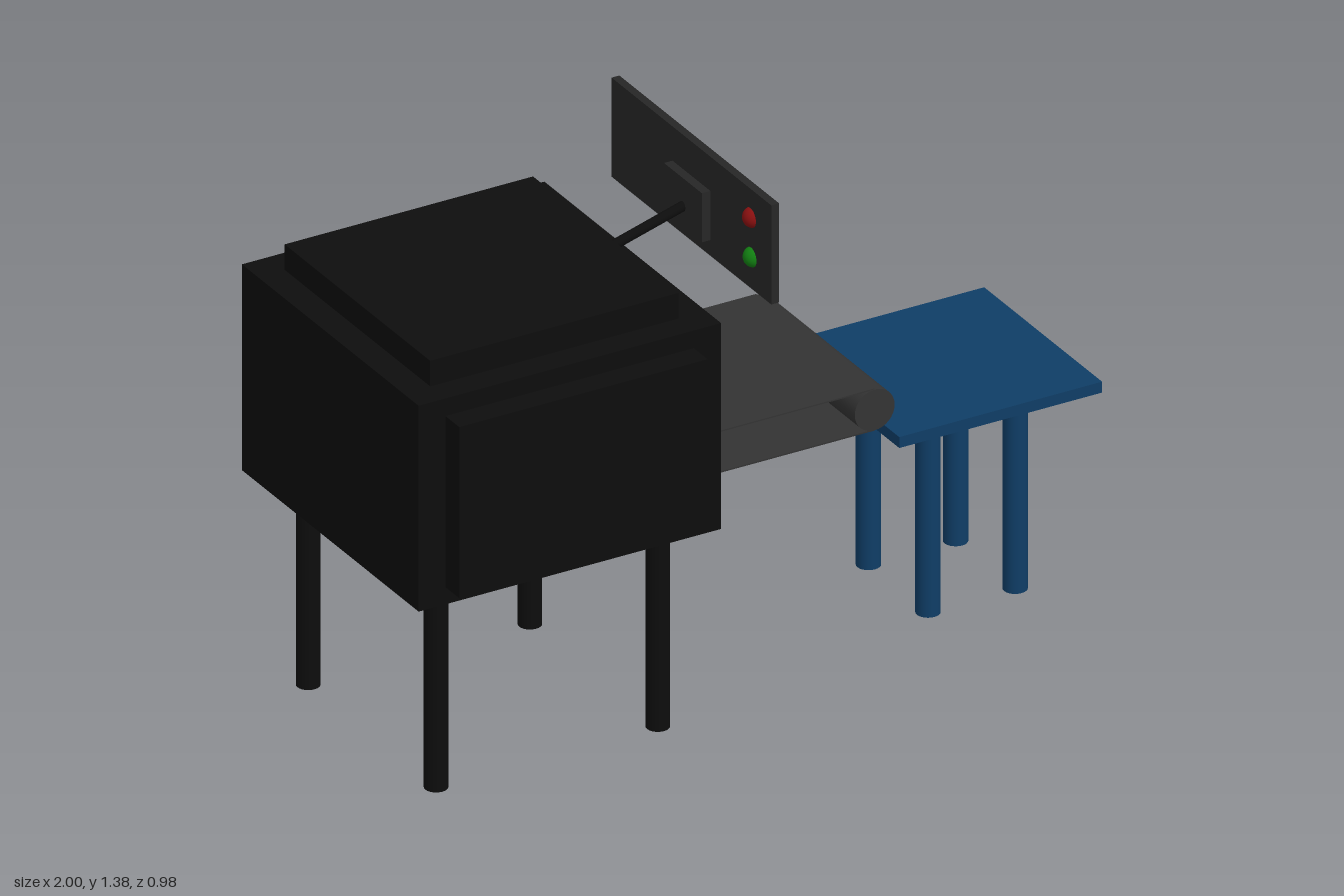
import * as THREE from 'three';

const mat = (color, side = THREE.FrontSide) => new THREE.MeshStandardMaterial({ color, side });
const BLACK = mat(0x0d0d0d);
const BELT = mat(0x333333);
const BLUE = mat(0x0f3d66);
const PANEL = mat(0x262626);
const PALE = mat(0xcccccc);
const RED = mat(0x8a1010);
const GREEN = mat(0x128012);

function add(parent, name, geometry, material, x = 0, y = 0, z = 0) {
  const mesh = new THREE.Mesh(geometry, material);
  mesh.name = name;
  mesh.position.set(x, y, z);
  parent.add(mesh);
  return mesh;
}

// Box given by its limits on each axis
function block(parent, name, material, [x0, x1], [y0, y1], [z0, z1]) {
  return add(parent, name, new THREE.BoxGeometry(x1 - x0, y1 - y0, z1 - z0), material,
    (x0 + x1) / 2, (y0 + y1) / 2, (z0 + z1) / 2);
}

// Rectangular hollow frame lying flat
function frame(parent, name, material, [x0, x1], [y0, y1], [z0, z1], t) {
  for (const x of [x0, x1 - t]) block(parent, name, material, [x, x + t], [y0, y1], [z0, z1]);
  for (const z of [z0, z1 - t]) block(parent, name, material, [x0 + t, x1 - t], [y0, y1], [z, z + t]);
}

function legs(parent, name, material, xs, zs, height, r) {
  for (const x of xs) for (const z of zs) {
    add(parent, name, new THREE.CylinderGeometry(r, r, height, 24), material, x, height / 2, z);
  }
}

function group(parent, name) {
  const g = new THREE.Group();
  g.name = name;
  parent.add(g);
  return g;
}

export function createModel() {
  const model = new THREE.Group();
  model.name = 'scannerStation';

  // Housing: stepped box, open at the conveyor end
  const housing = group(model, 'housing');
  const X = [-1, -0.15], Y = [0.56, 1.125], Z = [-0.427, 0.423], t = 0.07;
  block(housing, 'roof', BLACK, X, [Y[1] - 0.045, Y[1]], Z);
  block(housing, 'floor', BLACK, X, [Y[0], Y[0] + 0.045], Z);
  block(housing, 'backWall', BLACK, [X[0], X[0] + t], [0.605, 1.08], Z);
  block(housing, 'leftWall', BLACK, [X[0] + t, X[1]], [0.605, 1.08], [Z[1] - t, Z[1]]);
  block(housing, 'rightWall', BLACK, [X[0] + t, X[1]], [0.605, 1.08], [Z[0], Z[0] + t]);
  block(housing, 'topPlate', BLACK, [-0.925, -0.227], [Y[1], 1.195], [-0.35, 0.35]);
  block(housing, 'leftPlate', BLACK, [-0.925, -0.227], [0.607, 1.077], [Z[1], 0.49]);
  block(housing, 'rightPlate', BLACK, [-0.925, -0.227], [0.607, 1.077], [-0.49, Z[0]]);
  frame(housing, 'baseFrame', BLACK, [-0.89, -0.265], [0.525, Y[0]], [-0.3, 0.3], 0.03);
  legs(housing, 'housingLeg', BLACK, [-0.888, -0.265], [-0.3, 0.315], 0.565, 0.03);

  // Concentric rings on the inside of the back wall
  const rings = group(housing, 'sensorRings');
  rings.position.set(-0.93, 0.865, 0);
  rings.rotation.y = Math.PI / 2;
  for (const [R, r] of [[0.112, 0.027], [0.056, 0.012], [0.02, 0.005]]) {
    add(rings, 'ring', new THREE.TorusGeometry(R, r, 16, 48), PALE);
  }
  add(rings, 'ringCentre', new THREE.SphereGeometry(0.009, 16, 10), PALE);

  // Conveyor: rollers between an upper and a lower belt
  const conveyor = group(model, 'conveyor');
  const rollerY = 0.685, rollerR = 0.056;
  for (const x of [-0.7, -0.168, 0.364]) {
    const roller = add(conveyor, 'roller', new THREE.CylinderGeometry(rollerR, rollerR, 0.57, 32), BELT, x, rollerY, -0.003);
    roller.rotation.x = Math.PI / 2;
  }
  for (const y of [rollerY - rollerR, rollerY + rollerR]) {
    block(conveyor, 'belt', BELT, [-0.7, 0.364], [y - 0.002, y + 0.002], [-0.288, 0.28]);
  }

  // Control panel on a slanted arm
  const control = group(model, 'controlPanel');
  const a = new THREE.Vector3(-0.3, 1.13, -0.005), b = new THREE.Vector3(0, 1.215, -0.005);
  add(control, 'arm', new THREE.TubeGeometry(new THREE.LineCurve3(a, b), 1, 0.013, 16), BLACK);
  block(control, 'mount', PANEL, [-0.008, 0.017], [1.155, 1.29], [-0.095, 0.087]);
  block(control, 'panelBoard', PANEL, [0.016, 0.038], [1.112, 1.384], [-0.388, 0.38]);
  block(control, 'screen', PANEL, [0.03, 0.041], [1.124, 1.372], [-0.378, 0.162]);
  add(control, 'redButton', new THREE.SphereGeometry(0.027, 24, 16), RED, 0.023, 1.305, 0.28);
  add(control, 'greenButton', new THREE.SphereGeometry(0.027, 24, 16), GREEN, 0.023, 1.198, 0.283);

  // Receiving table
  const table = group(model, 'table');
  block(table, 'tableTop', BLUE, [0.43, 1], [0.565, 0.595], [-0.28, 0.287]);
  frame(table, 'tableApron', BLUE, [0.495, 0.937], [0.53, 0.566], [-0.216, 0.228], 0.025);
  legs(table, 'tableLeg', BLUE, [0.6, 0.845], [-0.152, 0.134], 0.566, 0.031);

  return model;
}
